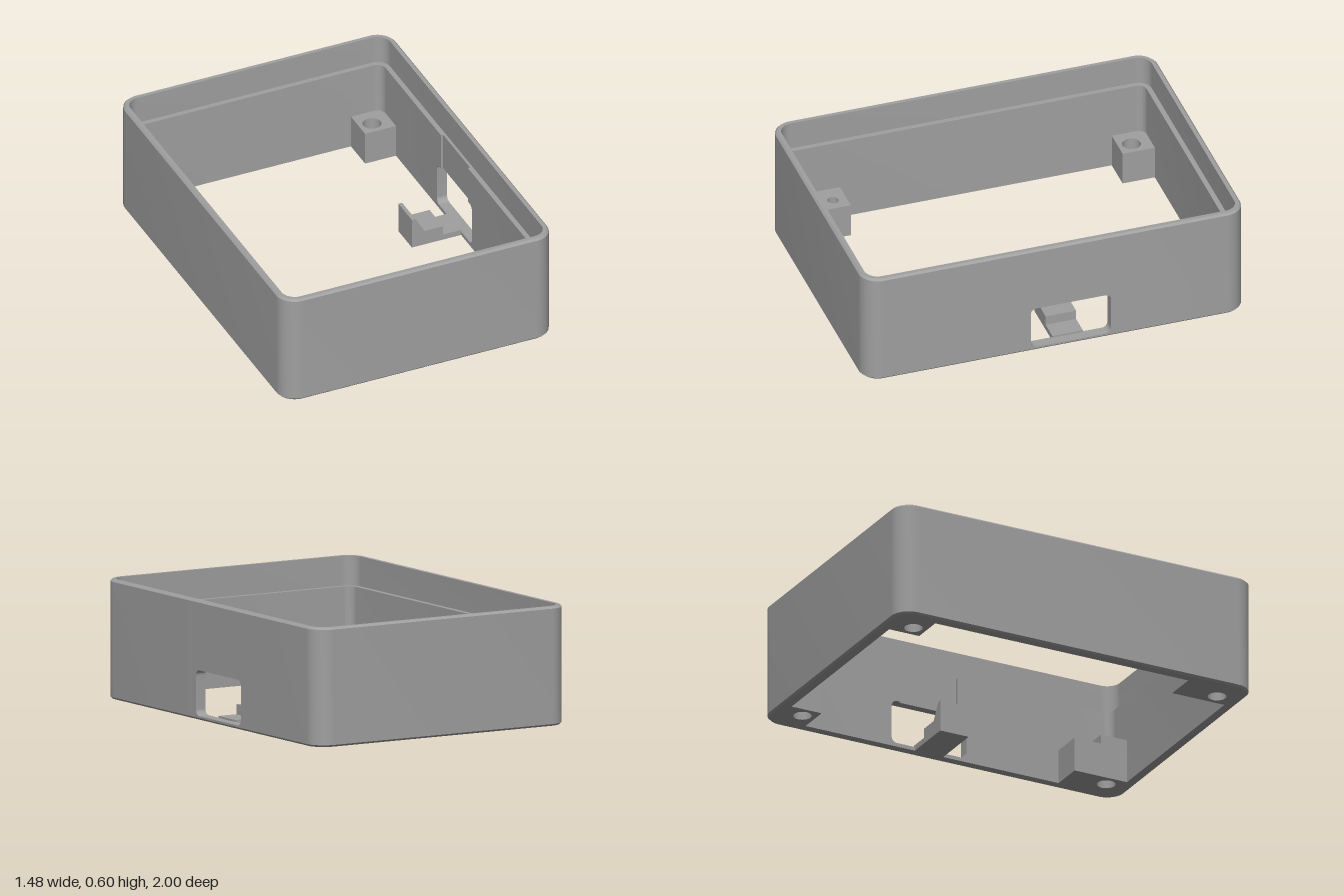
import * as THREE from 'three';
import { toCreasedNormals } from 'three/addons/utils/BufferGeometryUtils.js';

const W = 0.74, L = 1, R = 0.1, T = 0.056;    // half width, half length, corner radius, wall
const LEDGE = 0.45, FOOT = 0.015;             // ledge height, sill height
const GAP = [-0.35, 0.2];                     // z span of the wall panel with the port

// Sweep a closed (inset, height) profile along path stations { cx, cz, nx, nz }
function sweep(path, profile) {
  const pos = [];
  const at = (s, [d, y]) => [s.cx + s.nx * (R - d), y, s.cz + s.nz * (R - d)];
  for (let i = 0; i < path.length - 1; i++) {
    profile.forEach((p, j) => {
      const q = profile[(j + 1) % profile.length];
      const a = at(path[i], p), b = at(path[i], q);
      const c = at(path[i + 1], q), d = at(path[i + 1], p);
      pos.push(...a, ...b, ...c, ...a, ...c, ...d);
    });
  }
  const g = new THREE.BufferGeometry();
  g.setAttribute('position', new THREE.Float32BufferAttribute(pos, 3));
  return toCreasedNormals(g, 0.5);
}

const polygon = (pts) => new THREE.Shape(pts.map(([x, y]) => new THREE.Vector2(x, y)));

function extrude(shape, depth) {
  const g = new THREE.ExtrudeGeometry(shape, { depth, bevelEnabled: false, curveSegments: 12 });
  return toCreasedNormals(g, 0.6);
}

// Upright block from x0..x1, z0..z1 with an optional round vertical hole
function block(x0, x1, z0, z1, y0, y1, hole) {
  const s = polygon([[x0, -z0], [x0, -z1], [x1, -z1], [x1, -z0]]);
  if (hole) s.holes.push(new THREE.Path().absarc(hole[0], -hole[1], hole[2], 0, Math.PI * 2, true));
  return extrude(s, y1 - y0).rotateX(-Math.PI / 2).translate(0, y0, 0);
}

export function createModel() {
  const group = new THREE.Group();
  const grey = new THREE.MeshStandardMaterial({ color: 0xa0a0a0 });
  grey.name = 'grey plastic';
  const add = (name, geometry) => {
    const m = new THREE.Mesh(geometry, grey);
    m.name = name;
    group.add(m);
  };

  // Wall with stepped lip, running round from one side of the port to the other
  const cx = W - R, cz = L - R;
  const station = (x, z, a) => ({ cx: x, cz: z, nx: Math.cos(a), nz: Math.sin(a) });
  const path = [station(cx, GAP[1], 0)];
  [[1, 1], [-1, 1], [-1, -1], [1, -1]].forEach(([sx, sz], k) => {
    for (let i = 0; i <= 12; i++) path.push(station(sx * cx, sz * cz, (k + i / 12) * Math.PI / 2));
  });
  path.push(station(cx, GAP[0], 0));
  add('wall', sweep(path, [[0.01, 0], [0, 0.01], [0, 0.59], [0.01, 0.6], [0.03, 0.6],
    [0.03, LEDGE], [T, LEDGE], [T, 0]]));

  // Sill and lip continuing across the port panel
  const gap = GAP.map((z) => station(cx, z, 0));
  add('portSill', sweep(gap, [[0.01, 0], [0, 0.01], [0, FOOT], [T, FOOT], [T, 0]]));
  add('portLip', sweep(gap, [[0, LEDGE], [0, 0.59], [0.01, 0.6], [0.03, 0.6], [0.03, LEDGE]]));

  // Panel with rounded port; u runs along -z
  const u0 = -GAP[1], u1 = -GAP[0], a = -0.13, b = 0.29, lo = 0.02, hi = 0.25, r = 0.03;
  const H = Math.PI / 2;
  const panel = polygon([[u0, FOOT], [u1, FOOT], [u1, LEDGE], [u0, LEDGE]]);
  const port = new THREE.Path();
  port.absarc(b - r, hi - r, r, H, 0, true);
  port.absarc(b - r, lo + r, r, 0, -H, true);
  port.absarc(a + r, lo + r, r, -H, -2 * H, true);
  port.absarc(a + r, hi - r, r, 2 * H, H, true);
  port.closePath();
  panel.holes.push(port);
  const pocket = 0.012;
  add('portPanel', extrude(panel, T - pocket).rotateY(H).translate(W - T + pocket, 0, 0));

  // Inner layer of the panel, notched above the port to leave a shallow pocket
  const inner = new THREE.Shape();
  inner.moveTo(u0, FOOT);
  inner.lineTo(u1, FOOT);
  inner.lineTo(u1, LEDGE);
  inner.lineTo(0.24, LEDGE);
  inner.lineTo(0.24, hi);
  inner.absarc(b - r, hi - r, r, H, 0, true);
  inner.absarc(b - r, lo + r, r, 0, -H, true);
  inner.absarc(a + r, lo + r, r, -H, -2 * H, true);
  inner.absarc(a + r, hi - r, r, 2 * H, H, true);
  inner.lineTo(-0.08, hi);
  inner.lineTo(-0.08, LEDGE);
  inner.lineTo(u0, LEDGE);
  inner.closePath();
  add('portPanelInner', extrude(inner, pocket).rotateY(H).translate(W - T, 0, 0));

  // Corner posts; the front pair are stepped with a small blind hole
  for (const s of [1, -1]) {
    const side = s > 0 ? 'left' : 'right';
    const x0 = s > 0 ? 0.515 : -0.685, x1 = x0 + 0.17, hx = s * 0.585;
    add(side + 'BackPost', block(x0, x1, -0.944, -0.775, 0, 0.178, [hx, -0.845, 0.047]));
    add(side + 'FrontPost', block(x0, x1, 0.8, 0.944, 0, 0.23, [hx, 0.865, 0.047]));
    add(side + 'StepBase', block(x0, x1, 0.65, 0.8, 0, 0.08));
    add(side + 'StepTop', block(x0, x1, 0.65, 0.8, 0.08, 0.18, [hx, 0.72, 0.028]));
  }

  // Clip arm reaching inward from the port
  const clip = polygon([[0.69, 0], [0.69, 0.03], [0.585, 0.03], [0.585, 0.08], [0.485, 0.08],
    [0.435, 0.165], [0.415, 0.165], [0.415, 0]]);
  add('clipArm', extrude(clip, 0.16).translate(0, 0, -0.16));

  return group;
}
